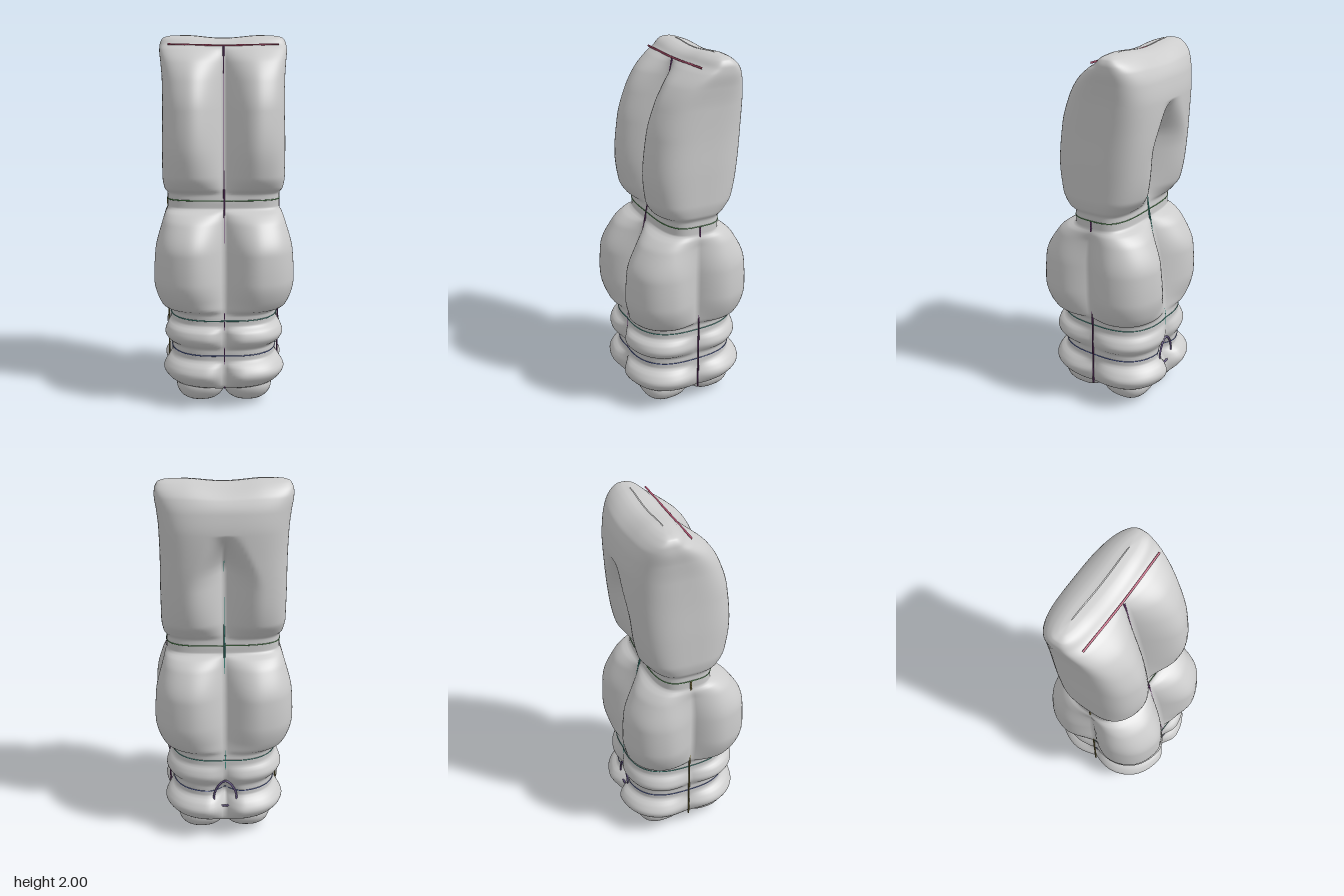
import * as THREE from 'three';

// Body stations: height, half width, front z, back z, side crease depth
const LOWER = [
  [0.085, 0.004, -0.006, -0.014, 0], [0.1, 0.25, 0.245, -0.265, 0], [0.135, 0.315, 0.305, -0.325, 0.02],
  [0.19, 0.345, 0.335, -0.353, 0.04], [0.235, 0.32, 0.315, -0.33, 0.03],
  [0.265, 0.29, 0.28, -0.295, 0], [0.33, 0.29, 0.28, -0.295, 0], [0.35, 0.315, 0.305, -0.305, 0.02],
  [0.39, 0.335, 0.325, -0.32, 0.03], [0.43, 0.32, 0.315, -0.31, 0.02],
  [0.46, 0.295, 0.28, -0.295, 0], [0.52, 0.295, 0.28, -0.295, 0], [0.55, 0.345, 0.315, -0.315, 0.04],
  [0.7, 0.387, 0.355, -0.345, 0.08], [0.85, 0.38, 0.348, -0.338, 0.07], [1.0, 0.345, 0.272, -0.272, 0.035],
];
const UPPER = [
  [1.05, 0.325, 0.21, -0.22, 0.01], [1.075, 0.308, 0.152, -0.172, 0], [1.15, 0.308, 0.152, -0.172, 0],
  [1.18, 0.325, 0.19, -0.2, 0], [1.25, 0.335, 0.23, -0.25, 0], [1.4, 0.335, 0.25, -0.28, 0],
  [1.6, 0.332, 0.23, -0.296, 0], [1.75, 0.334, 0.18, -0.3, 0], [1.85, 0.342, 0.115, -0.288, 0],
  [1.92, 0.35, 0.03, -0.262, 0], [1.95, 0.348, -0.02, -0.238, 0], [1.98, 0.335, -0.055, -0.2, 0],
  [1.995, 0.3, -0.09, -0.165, 0], [2.0, 0.22, -0.126, -0.13, 0],
];
const ROWS = [...LOWER, ...UPPER];
const { lerp, smoothstep, clamp } = THREE.MathUtils;

// Overshoot-free interpolation of one station column
function slope(i, k) {
  const d = (j) => (ROWS[j + 1][k] - ROWS[j][k]) / (ROWS[j + 1][0] - ROWS[j][0]);
  const a = d(Math.max(i - 1, 0)), b = d(Math.min(i, ROWS.length - 2));
  return a * b <= 0 ? 0 : (2 * a * b) / (a + b);
}
function station(y, k) {
  let i = 0;
  while (i < ROWS.length - 2 && y > ROWS[i + 1][0]) i++;
  const h = ROWS[i + 1][0] - ROWS[i][0];
  const f = clamp((y - ROWS[i][0]) / h, 0, 1), g = 1 - f;
  return ROWS[i][k] * (1 + 2 * f) * g * g + ROWS[i + 1][k] * f * f * (3 - 2 * f)
    + h * f * g * (slope(i, k) * g - slope(i + 1, k) * f);
}

// Depth of the pinched centre seams
function frontSeam(y) {
  if (y > 1.12) return lerp(0.15, -0.01, (y - 1.12) / 0.83);
  return lerp(0.275, 0.15, clamp((y - 0.49) / 0.63, 0, 1));
}
function backSeam(y) {
  if (y > 1.12) return lerp(-0.17, -0.1, clamp((y - 1.12) / 0.45, 0, 1)) - 0.22 * smoothstep(y, 1.52, 1.8);
  const hole = 0.07 * Math.exp(-(((y - 0.27) / 0.06) ** 2));
  return lerp(-0.29, -0.17, clamp((y - 0.49) / 0.63, 0, 1)) + hole;
}

// A quilted cross-section: rounded box pinched at the front, back and sides
function section(y) {
  const [w, zf, zb, side] = [1, 2, 3, 4].map((k) => station(y, k));
  const mid = (zf + zb) / 2, half = (zf - zb) / 2;
  const puff = smoothstep(y, 0.48, 0.6);
  const n = lerp(2.8, 3.4, puff);
  const cf = Math.max(0, zf - frontSeam(y)), cb = Math.max(0, backSeam(y) - zb);
  const frontWidth = lerp(0.11, 0.2, puff);
  const backWidth = frontWidth - 0.1 * smoothstep(y, 1.45, 1.75);
  const saddle = 0.014 * smoothstep(y, 1.85, 2);
  return (t) => {
    const c = Math.cos(t), s = Math.sin(t);
    const r = 1 / Math.pow(Math.abs(c) ** n + Math.abs(s) ** n, 1 / n);
    let x = w * r * c, z = half * 1.03 * r * s;
    const pinchX = Math.max(0, 1 - Math.abs(x) / (s > 0 ? frontWidth : backWidth)) ** 2;
    const pinchZ = Math.max(0, 1 - Math.abs(z) / 0.18) ** 2;
    const dip = saddle * Math.max(0, 1 - (x / 0.2) ** 2) ** 2;
    if (Math.abs(s) > Math.abs(c) * 0.4) z -= (s > 0 ? cf : -cb) * pinchX;
    if (Math.abs(c) > Math.abs(s) * 0.4) x -= Math.sign(c) * side * pinchZ;
    return new THREE.Vector3(x, y - dip, mid + z);
  };
}

// Loft of the sections, with rows packed closer towards the rounded top
function bodyGeometry() {
  const M = 240, N = 128, pos = [], index = [];
  for (let i = 0; i <= M; i++) {
    const at = section(lerp(0.085, 2, 1 - (1 - i / M) ** 1.5));
    for (let j = 0; j < N; j++) pos.push(...at((j / N) * Math.PI * 2).toArray());
  }
  for (let i = 0; i < M; i++) {
    for (let j = 0; j < N; j++) {
      const a = i * N + j, c = i * N + ((j + 1) % N), b = a + N, d = c + N;
      index.push(a, b, c, c, b, d);
    }
  }
  const g = new THREE.BufferGeometry();
  g.setAttribute('position', new THREE.Float32BufferAttribute(pos, 3));
  g.setIndex(index);
  g.computeVertexNormals();
  return g;
}

// A sphere whose plan is squared off, so neighbouring pads meet along straight seams
function padGeometry() {
  const g = new THREE.SphereGeometry(1, 32, 20), p = g.attributes.position;
  for (let i = 0; i < p.count; i++) {
    const a = Math.atan2(p.getZ(i), p.getX(i));
    const k = 1 / Math.pow(Math.abs(Math.cos(a)) ** 2.6 + Math.abs(Math.sin(a)) ** 2.6, 1 / 2.6);
    p.setXYZ(i, p.getX(i) * k, p.getY(i), p.getZ(i) * k);
  }
  g.scale(0.135, 0.1, 0.138);
  g.computeVertexNormals();
  return g;
}

export function createModel() {
  const model = new THREE.Group();
  const grey = new THREE.MeshStandardMaterial({ color: 0xcccccc, side: THREE.DoubleSide });
  const add = (name, geometry, material = grey) => {
    const mesh = new THREE.Mesh(geometry, material);
    mesh.name = name;
    model.add(mesh);
    return mesh;
  };
  const cord = (name, points, color, closed = false, radius = 0.005) =>
    add(name, new THREE.TubeGeometry(new THREE.CatmullRomCurve3(points, closed), 80, radius, 6, closed),
      new THREE.MeshStandardMaterial({ color }));

  add('quiltedBody', bodyGeometry());

  // Four rounded pads under the body
  const pad = padGeometry();
  for (const x of [-0.128, 0.128]) {
    for (const z of [-0.138, 0.125]) add('bottomPad', pad).position.set(x, 0.1, z);
  }

  // Stitched cords around the waist and straps
  const ring = (y) => Array.from({ length: 64 }, (_, j) => section(y)((j / 64) * Math.PI * 2));
  cord('waistCord', ring(1.12), 0x4f8a4f, true, 0.003);
  cord('upperStrapCord', ring(0.49), 0x3f8a80, true, 0.003);
  cord('lowerStrapCord', ring(0.295), 0x4a5a9a, true, 0.003);

  // Taut vertical seams lying in the creases
  const seam = (y0, y1, depth) => Array.from({ length: 40 }, (_, i) => {
    const y = lerp(y0, y1, i / 39);
    return new THREE.Vector3(0, y, depth(y));
  });
  cord('frontSeam', seam(0.11, 1.94, (y) => frontSeam(y) + 0.005), 0x6a3a72);
  cord('backSeam', seam(0.38, 1.58, (y) => backSeam(y) - 0.005), 0x3f8a80);
  for (const [name, x, color] of [['leftSeam', 0.308, 0x6a3a72], ['rightSeam', -0.308, 0x7a7040]]) {
    cord(name, [new THREE.Vector3(x, 0.12, -0.01), new THREE.Vector3(x, 1.12, -0.01)], color);
  }

  // Seam across the sloping top
  cord('topSeam', [new THREE.Vector3(-0.3, 1.948, -0.014), new THREE.Vector3(0, 1.942, -0.01),
    new THREE.Vector3(0.3, 1.948, -0.014)], 0xc05878);

  // Rim of the small opening at the back
  const rim = Array.from({ length: 24 }, (_, i) => {
    const a = (i / 24) * Math.PI * 2;
    return new THREE.Vector3(0.06 * Math.cos(a) * (1 - 0.3 * Math.sin(a)), 0.28 + 0.08 * Math.sin(a), -0.3);
  });
  cord('backOpeningRim', rim, 0x6a5a8a, true, 0.006);
  return model;
}
